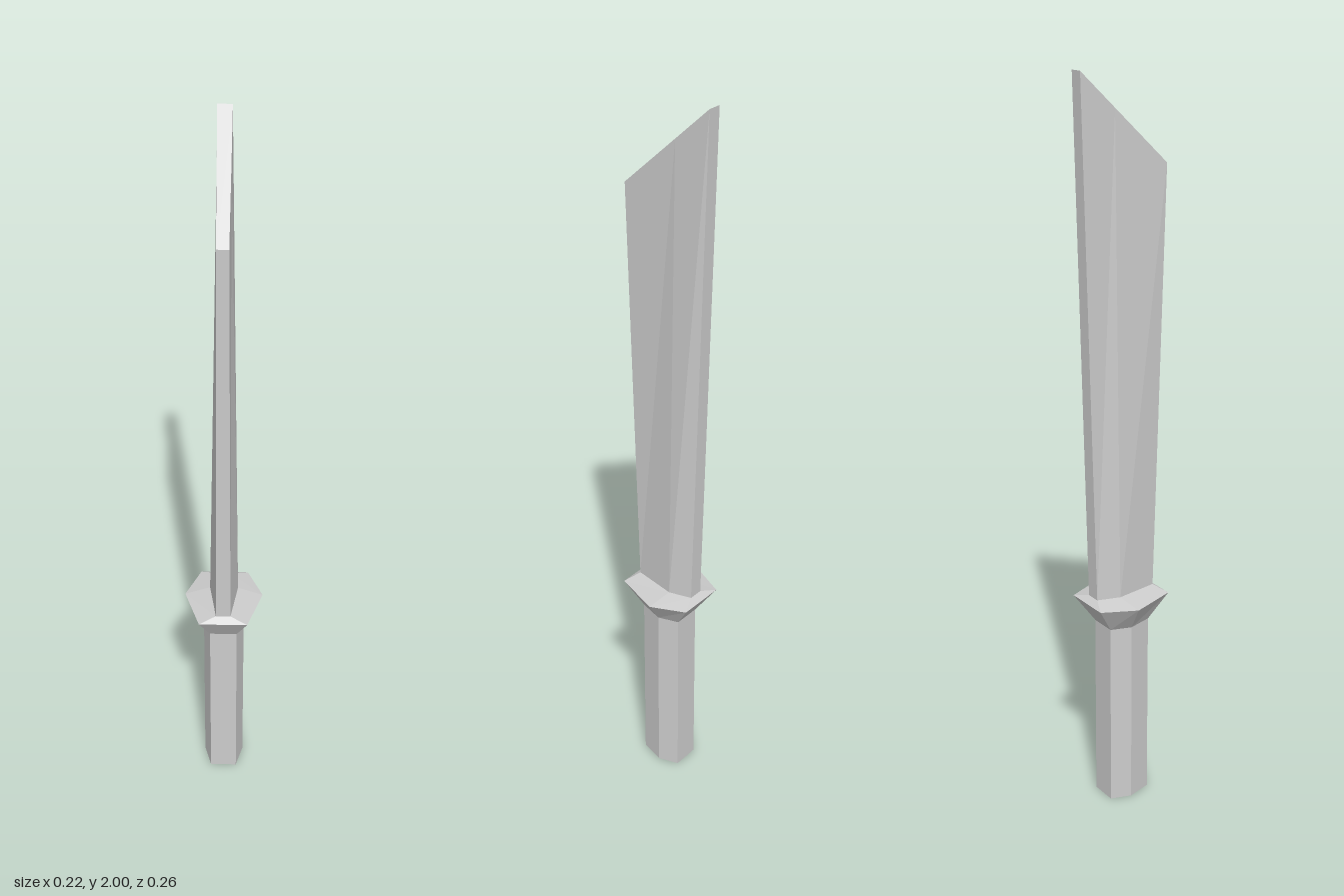
import * as THREE from 'three';

// Six-sided ring: flat front and back edges plus a ridge corner on each side.
// Each corner kind is [half width x, y, z].
function ring(front, ridge, back) {
  const at = ([x, y, z], s) => new THREE.Vector3(x * s, y, z);
  return [at(front, -1), at(front, 1), at(ridge, 1), at(back, 1), at(back, -1), at(ridge, -1)];
}

// Joins rings from bottom to top, with optional flat end caps.
function loft(name, rings, capBottom, capTop) {
  const points = [];
  const n = 6;
  for (let r = 0; r < rings.length - 1; r++) {
    for (let i = 0; i < n; i++) {
      const j = (i + 1) % n;
      const a = rings[r][i], b = rings[r][j], c = rings[r + 1][j], d = rings[r + 1][i];
      points.push(a, b, c, a, c, d);
    }
  }
  const top = rings[rings.length - 1];
  for (let i = 1; i < n - 1; i++) {
    if (capBottom) points.push(rings[0][0], rings[0][i + 1], rings[0][i]);
    if (capTop) points.push(top[0], top[i], top[i + 1]);
  }
  const geometry = new THREE.BufferGeometry().setFromPoints(points);
  geometry.computeVertexNormals();
  const mesh = new THREE.Mesh(geometry, new THREE.MeshStandardMaterial({ color: 0xcccccc, flatShading: true }));
  mesh.name = name;
  return mesh;
}

export function createModel() {
  const model = new THREE.Group();
  model.name = 'machete';

  const gripEnd = ring([0.037, 0, 0.063], [0.056, 0, -0.005], [0.037, 0, -0.061]);
  const gripTop = ring([0.037, 0.53, 0.063], [0.056, 0.53, -0.005], [0.037, 0.53, -0.061]);
  const guardRim = ring([0.066, 0.607, 0.11], [0.108, 0.605, -0.018], [0.066, 0.607, -0.112]);
  const bladeBase = ring([0.02, 0.62, 0.09], [0.039, 0.62, -0.03], [0.02, 0.62, -0.092]);
  // The tip slants from the tall back down to the short front edge
  const bladeTip = ring([0.015, 1.763, 0.128], [0.017, 1.908, -0.03], [0.018, 2, -0.13]);

  model.add(
    loft('handle', [gripEnd, gripTop], true, false),
    loft('guard', [gripTop, guardRim, bladeBase], false, false),
    loft('blade', [bladeBase, bladeTip], false, true)
  );
  return model;
}
